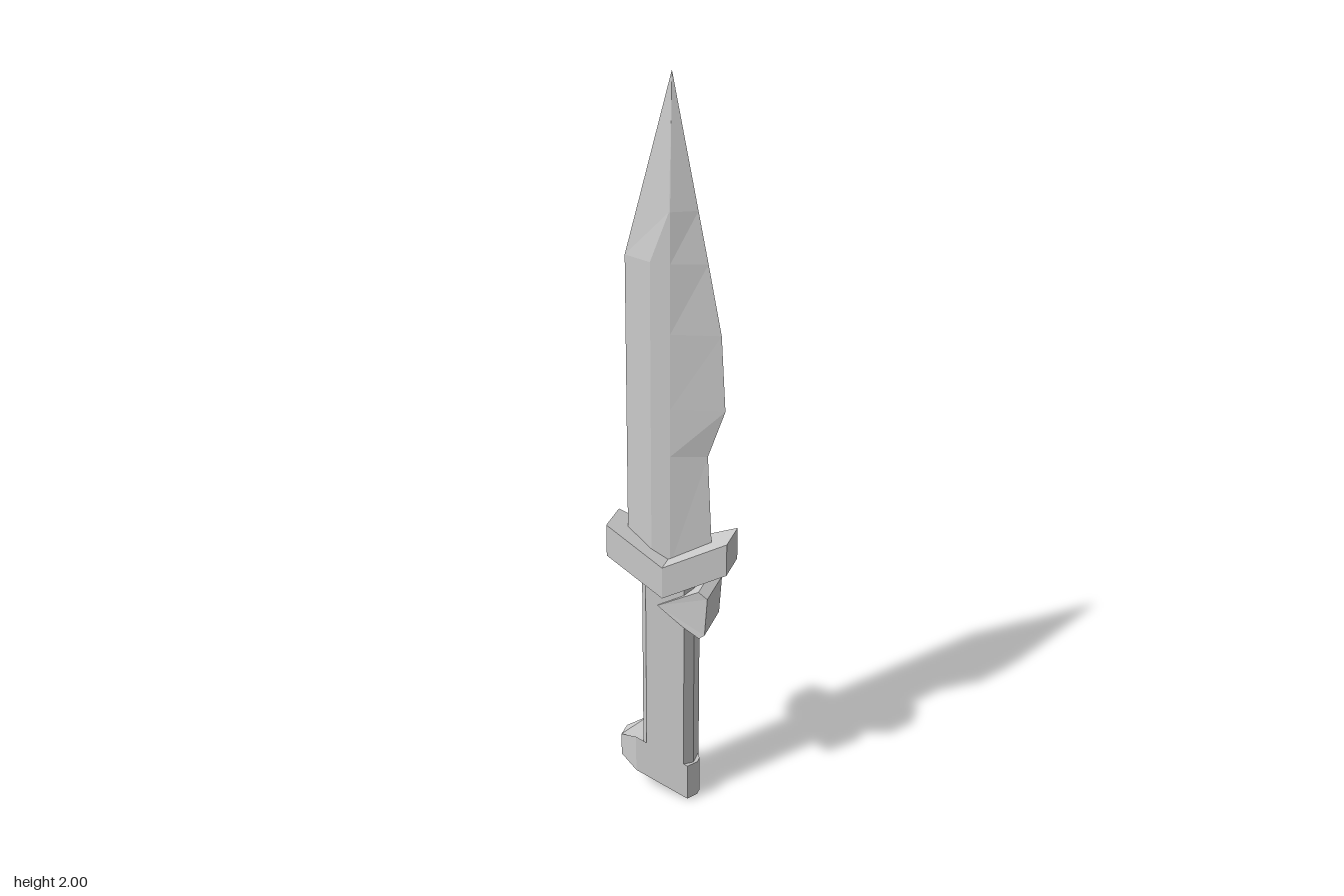
import * as THREE from 'three';

const material = new THREE.MeshStandardMaterial({ color: 0xcccccc, flatShading: true });

// Skins a series of equal-length rings of [x, y, z] points and caps both ends.
function loft(name, rings) {
  const tris = [];
  const n = rings[0].length;
  for (let r = 0; r < rings.length - 1; r++) {
    for (let i = 0; i < n; i++) {
      const j = (i + 1) % n;
      const a = rings[r][i], b = rings[r][j], c = rings[r + 1][j], d = rings[r + 1][i];
      tris.push([a, b, c], [a, c, d]);
    }
  }
  const first = rings[0], last = rings[rings.length - 1];
  for (let i = 1; i < n - 1; i++) {
    tris.push([first[0], first[i + 1], first[i]], [last[0], last[i], last[i + 1]]);
  }
  // Signed volume tells whether the faces point outward
  const v = (p) => new THREE.Vector3(...p);
  const volume = tris.reduce((s, [a, b, c]) => s + v(a).dot(v(b).cross(v(c))), 0);
  if (volume < 0) tris.forEach((t) => t.reverse());

  const geometry = new THREE.BufferGeometry();
  geometry.setAttribute('position', new THREE.Float32BufferAttribute(tris.flat(2), 3));
  geometry.computeVertexNormals();
  const mesh = new THREE.Mesh(geometry, material);
  mesh.name = name;
  return mesh;
}

// Blade: rows of height, spine x, two ridge x, edge x, half thickness
function blade() {
  const rows = [
    [0.72, -0.12, -0.045, 0.006, 0.11, 0.031],
    [1.03, -0.12, -0.045, 0.006, 0.095, 0.031],
    [1.16, -0.12, -0.045, 0.006, 0.139, 0.031],
    [1.36, -0.12, -0.045, 0.006, 0.127, 0.031],
    [1.54, -0.12, -0.045, 0.006, 0.092, 0.031],
    [1.67, -0.086, 0.003, 0.006, 0.066, 0.031],
    [2.0, 0, 0, 0, 0, 0],
  ];
  return loft('blade', rows.map(([y, spine, a, b, edge, t]) => [
    [spine, y, 0], [a, y, t], [b, y, t], [edge, y, 0], [b, y, -t], [a, y, -t],
  ]));
}

// Guard: V-shaped bar, thickest in the middle
function guard() {
  const sections = [[-0.162, 0.725, 0.047], [0, 0.645, 0.079], [0.162, 0.725, 0.047]];
  return loft('guard', sections.map(([x, y, t]) => [
    [x, y, t], [x, y + 0.09, t], [x, y + 0.09, -t], [x, y, -t],
  ]));
}

// Grip: eight-sided column
function grip() {
  const plan = [
    [-0.074, 0.023], [-0.055, 0.05], [0.05, 0.05], [0.069, 0.023],
    [0.069, -0.023], [0.05, -0.05], [-0.055, -0.05], [-0.074, -0.023],
  ];
  return loft('grip', [0.1, 0.68].map((y) => plan.map(([x, z]) => [x, y, z])));
}

// Finger spur: wedge across the grip, narrowing toward its tip
function fingerSpur() {
  const outline = [
    [-0.022, 0.605, 0.053], [0.048, 0.556, 0.058], [0.095, 0.533, 0.063],
    [0.11, 0.545, 0.063], [0.117, 0.655, 0.063], [0.093, 0.672, 0.063],
  ];
  return loft('fingerSpur', [1, -1].map((s) => outline.map(([x, y, z]) => [x, y, s * z])));
}

// Pommel: slanted block with chamfered ends
function pommel() {
  const plan = [
    [-0.138, 0.022], [-0.085, 0.052], [0.062, 0.052], [0.078, 0.015],
    [0.078, -0.005], [0.04, -0.052], [-0.085, -0.052], [-0.138, -0.022],
  ];
  const bottom = ([x, z]) => [x, 0.0325 - 0.417 * x, z];
  const top = ([x, z]) => [x, x < -0.1 ? 0.155 : 0.141 - 0.43 * x, z];
  return loft('pommel', [plan.map(bottom), plan.map(top)]);
}

export function createModel() {
  const model = new THREE.Group();
  model.name = 'knife';
  model.add(blade(), guard(), grip(), fingerSpur(), pommel());
  return model;
}
